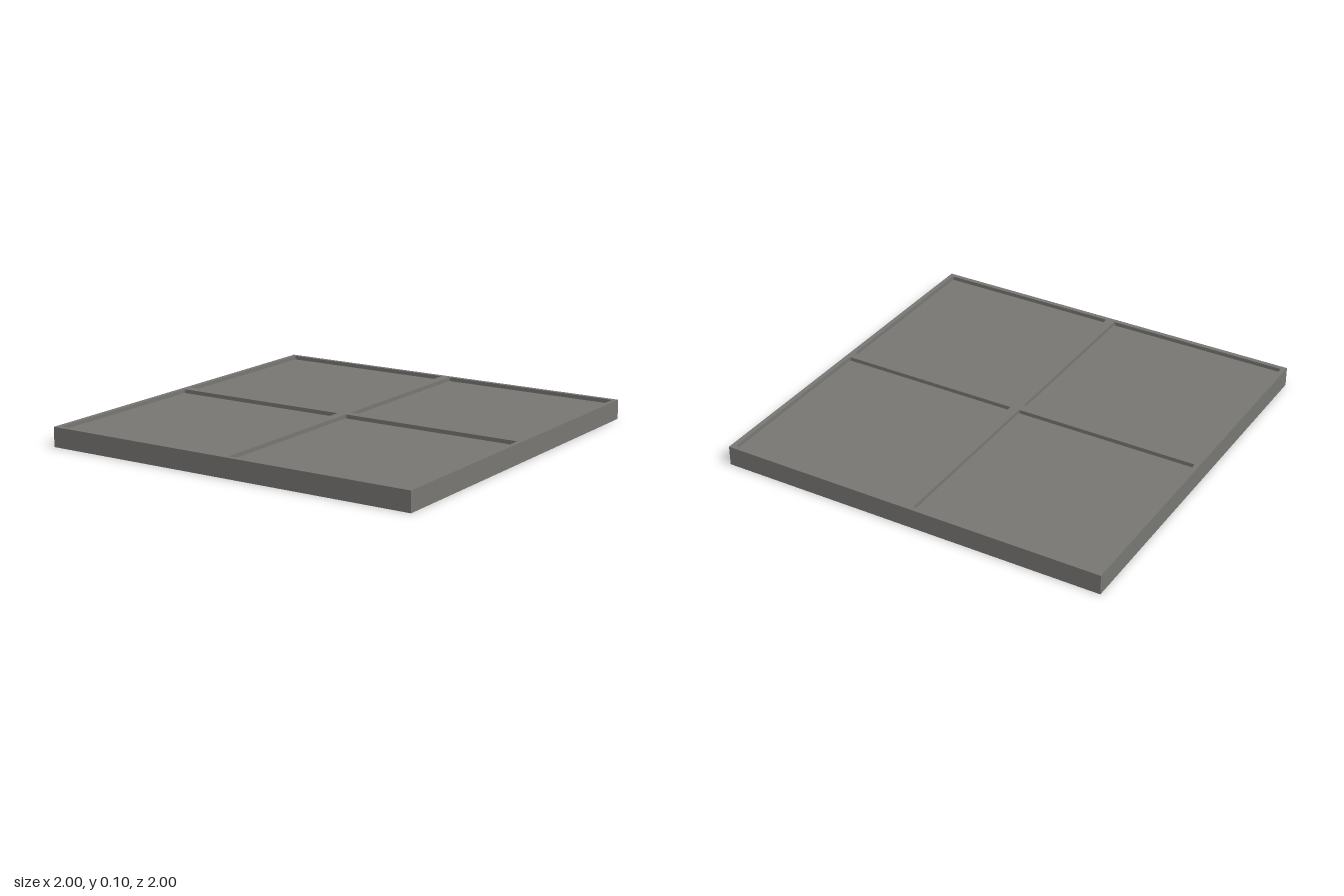
import * as THREE from 'three';

const HEIGHT = 0.1;     // full slab height
const DEPTH = 0.02;     // depth of the recessed panels
const MARGIN = 0.024;   // frame width around each panel
const RADIUS = 0.008;   // small rounding of the panel corners

// Rounded square outline with its lower corner at (x, y)
function roundedSquare(x, y, size, r) {
  const p = new THREE.Path();
  p.absarc(x + r, y + r, r, Math.PI, 1.5 * Math.PI);
  p.absarc(x + size - r, y + r, r, 1.5 * Math.PI, 2 * Math.PI);
  p.absarc(x + size - r, y + size - r, r, 0, 0.5 * Math.PI);
  p.absarc(x + r, y + size - r, r, 0.5 * Math.PI, Math.PI);
  p.closePath();
  return p;
}

export function createModel() {
  const group = new THREE.Group();
  group.name = 'floorTile';
  const material = new THREE.MeshStandardMaterial({ color: 0x777672 });

  // Solid slab whose top is the floor of the four recesses
  const slabHeight = HEIGHT - DEPTH;
  const slab = new THREE.Mesh(new THREE.BoxGeometry(2, slabHeight, 2), material);
  slab.name = 'slab';
  slab.position.y = slabHeight / 2;
  group.add(slab);

  // Raised border and cross bars, cut out around the four panels
  const outline = new THREE.Shape();
  outline.moveTo(-1, -1).lineTo(1, -1).lineTo(1, 1).lineTo(-1, 1).closePath();
  for (const x of [-1, 0]) {
    for (const y of [-1, 0]) {
      outline.holes.push(roundedSquare(x + MARGIN, y + MARGIN, 1 - 2 * MARGIN, RADIUS));
    }
  }
  const frameGeometry = new THREE.ExtrudeGeometry(outline, {
    depth: DEPTH, bevelEnabled: false, curveSegments: 3,
  });
  frameGeometry.rotateX(-Math.PI / 2);
  const frame = new THREE.Mesh(frameGeometry, material);
  frame.name = 'raisedFrame';
  frame.position.y = slabHeight;
  group.add(frame);

  return group;
}
